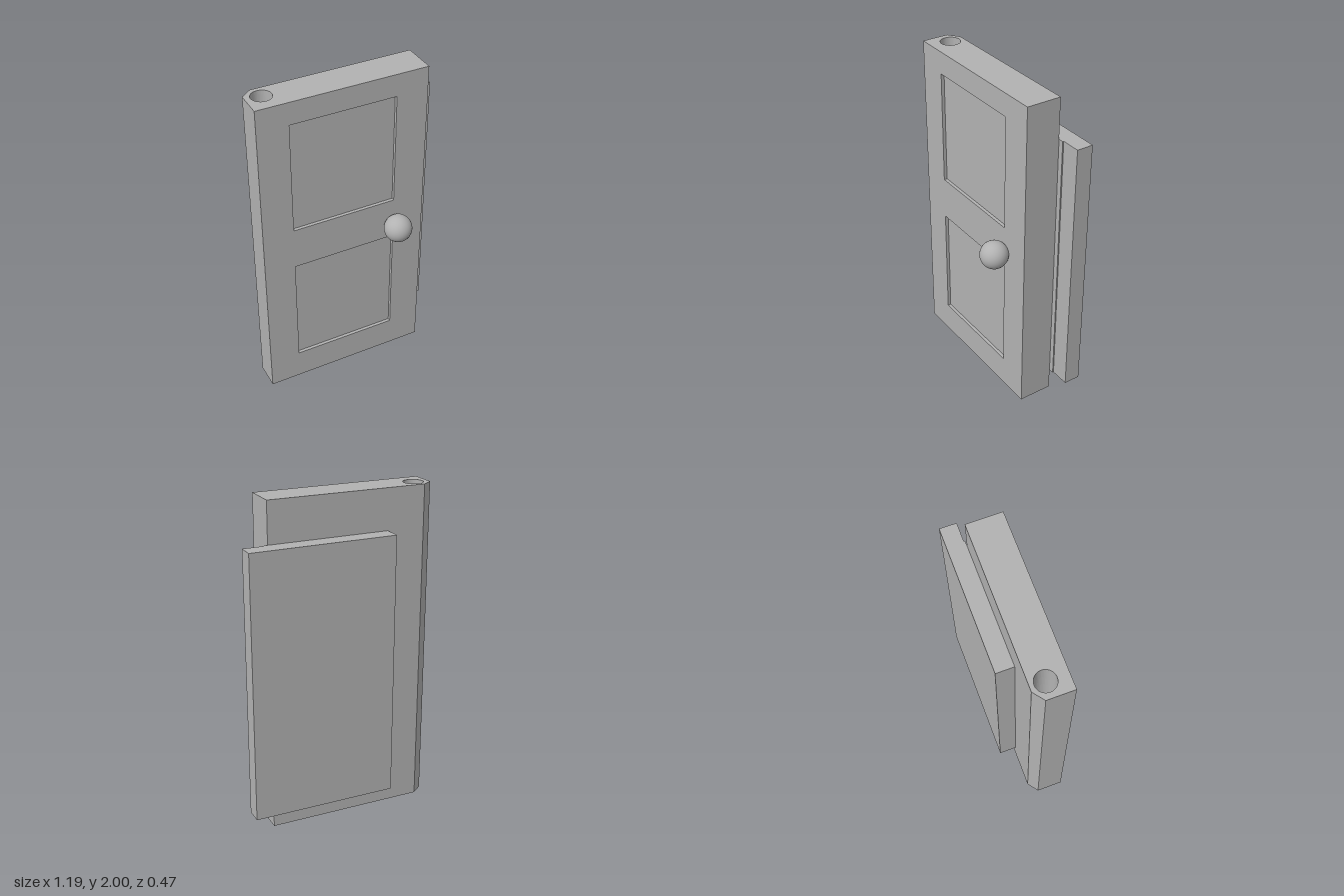
import * as THREE from 'three';

export function createModel() {
  const group = new THREE.Group();
  const grey = new THREE.MeshStandardMaterial({ color: 0xb2b2b2 });
  grey.name = 'grey';

  const add = (name, geometry) => {
    const mesh = new THREE.Mesh(geometry, grey);
    mesh.name = name;
    group.add(mesh);
    return mesh;
  };
  // box given by its two extreme corners
  const block = (name, [x0, y0, z0], [x1, y1, z1]) =>
    add(name, new THREE.BoxGeometry(x1 - x0, y1 - y0, z1 - z0))
      .position.set((x0 + x1) / 2, (y0 + y1) / 2, (z0 + z1) / 2);
  const rect = (Type, x0, y0, x1, y1) => new Type([
    new THREE.Vector2(x0, y0), new THREE.Vector2(x1, y0),
    new THREE.Vector2(x1, y1), new THREE.Vector2(x0, y1),
  ]);

  const left = -0.595, right = 0.44, front = 0.082, back = -0.13, recess = 0.02;

  // door core: plan outline with a chamfered hinge corner and a pin hole
  const plan = new THREE.Shape([
    [left, recess - front], [right, recess - front], [right, -back], [-0.53, -back], [left, 0.08],
  ].map(([x, y]) => new THREE.Vector2(x, y)));
  const pinHole = new THREE.Path();
  pinHole.absarc(-0.502, 0.045, 0.06, 0, Math.PI * 2, true);
  plan.holes.push(pinHole);
  const core = new THREE.ExtrudeGeometry(plan, { depth: 2, bevelEnabled: false, curveSegments: 24 });
  core.rotateX(-Math.PI / 2);
  add('doorCore', core);

  // front layer whose two openings form the sunken panels
  const face = rect(THREE.Shape, left, 0, right, 2);
  for (const [y0, y1] of [[0.19, 0.895], [1.16, 1.862]]) {
    face.holes.push(rect(THREE.Path, -0.405, y0, 0.243, y1));
  }
  const frame = new THREE.ExtrudeGeometry(face, { depth: recess, bevelEnabled: false });
  add('panelFrame', frame).position.z = front - recess;

  // slab on the back, stepped where it overhangs the latch edge
  block('backSlab', [-0.298, 0.137, -0.238], [0.59, 1.752, -0.137]);
  block('backSlabStep', [-0.298, 0.137, -0.137], [0.472, 1.752, back]);

  // door knob
  add('knob', new THREE.SphereGeometry(0.085, 32, 20)).position.set(0.24, 1, 0.15);

  return group;
}
